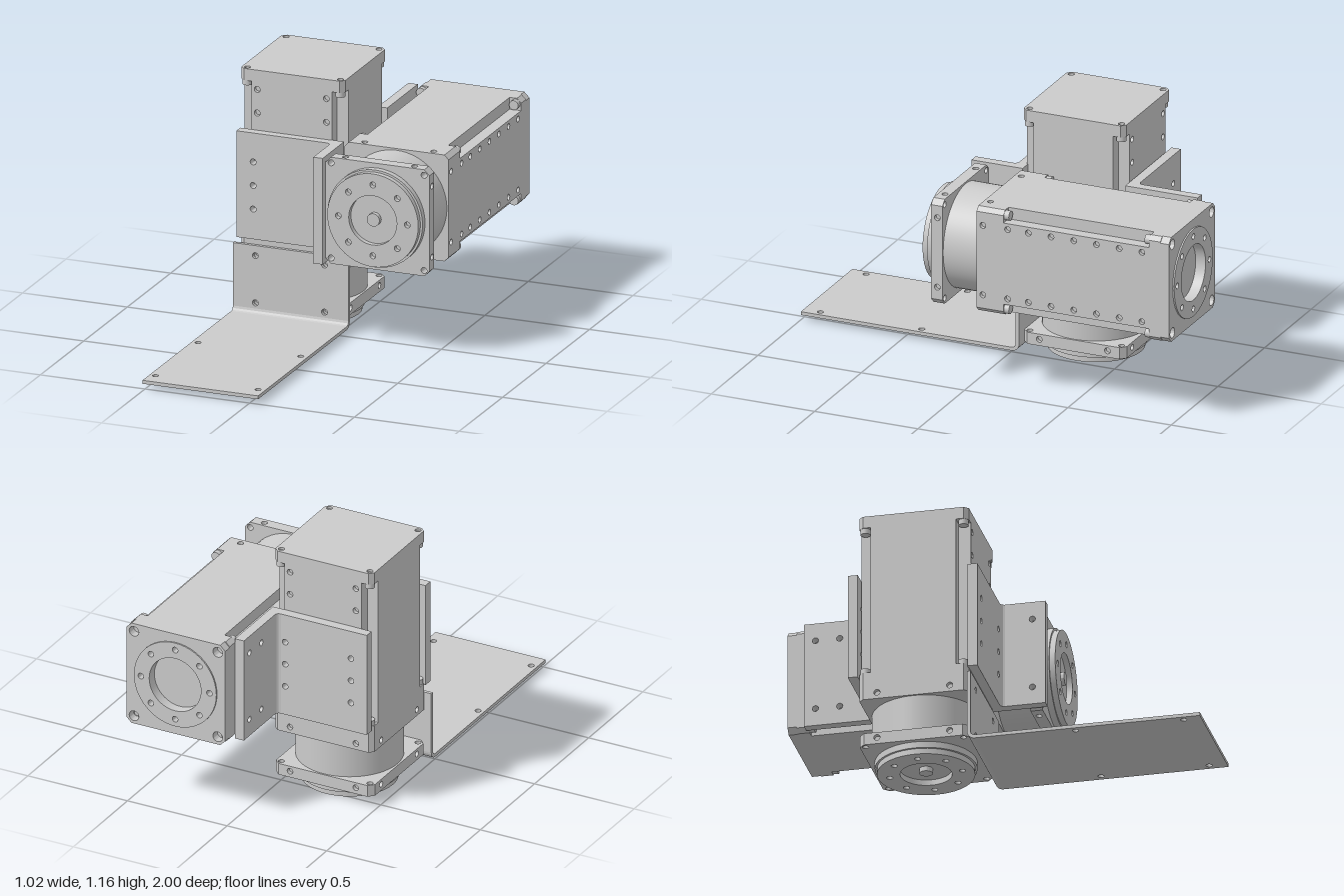
import * as THREE from 'three';
import { toCreasedNormals } from 'three/addons/utils/BufferGeometryUtils.js';

const H = 0.248;      // half width of an actuator
const N = 0.193;      // half width between the corner grooves
const SKIN = 0.02;    // thickness of the drilled side skins
const R = 0.014;      // screw hole radius
const P = 0.165;      // hole pitch from the axis
const CORNERS = [[1, 1], [-1, 1], [-1, -1], [1, -1]];

const material = new THREE.MeshStandardMaterial({ color: 0xcccccc });

function add(parent, name, geometry, x = 0, y = 0, z = 0) {
  const mesh = new THREE.Mesh(geometry, material);
  mesh.name = name;
  mesh.position.set(x, y, z);
  parent.add(mesh);
  return mesh;
}

const poly = (pts) => new THREE.Shape(pts.map(([x, y]) => new THREE.Vector2(x, y)));

function drill(shape, holes, r = R) {
  for (const [x, y] of holes) {
    shape.holes.push(new THREE.Path().absarc(x, y, r, 0, Math.PI * 2, true));
  }
  return shape;
}

function extrude(shape, depth) {
  const g = new THREE.ExtrudeGeometry(shape, { depth, bevelEnabled: false, curveSegments: 24 });
  return toCreasedNormals(g, 0.5);
}

// Extrusion running up the y axis
const column = (shape, depth) => extrude(shape, depth).rotateX(-Math.PI / 2);

// Rectangular sheet from corner to corner, with holes
function sheet(x0, y0, x1, y1, depth, holes = []) {
  return extrude(drill(poly([[x0, y0], [x1, y0], [x1, y1], [x0, y1]]), holes), depth);
}

const disc = (r) => new THREE.Shape().absarc(0, 0, r, 0, Math.PI * 2, false);
const ringOfHoles = (n, r) => Array.from({ length: n }, (_, i) => {
  const a = (i / n) * Math.PI * 2;
  return [Math.cos(a) * r, Math.sin(a) * r];
});

// Square with chamfered corners; inset > 0 leaves a pocket for a skin on each side
function squareSection(chamfer, inset = 0) {
  const w = 0.2, pts = [];
  const quarter = [[H, -w], [H - inset, -w], [H - inset, w], [H, w], [H, H - chamfer], [H - chamfer, H]];
  for (let k = 0; k < 4; k++) {
    for (const [x, y] of inset ? quarter : quarter.slice(4)) {
      pts.push([[x, y], [-y, x], [-x, -y], [y, -x]][k]);
    }
  }
  return poly(pts);
}

// Drilled skin on side k (0 = +z, going round by quarter turns)
function skin(parent, name, k, w, y0, y1, rows) {
  const holes = rows.flatMap((y) => [[-P, y], [P, y]]);
  const g = sheet(-w, y0, w, y1, SKIN, holes).translate(0, 0, H - SKIN);
  add(parent, name, g).rotation.y = k * Math.PI / 2;
}

// Square actuator standing on its output disc, drilled rows on its +z and -z sides
function actuator(name, withEndPlate) {
  const g = new THREE.Group();
  g.name = name;
  const cornerHoles = CORNERS.map(([x, z]) => [x * 0.222, z * 0.222]);

  // Output disc with bolt circle, recess and centre boss
  const face = drill(disc(0.217), ringOfHoles(8, P));
  drill(face, [[0, 0]], 0.115);
  add(g, 'outputDisc', column(face, 0.03));
  add(g, 'outputDiscBase', column(disc(0.227), 0.03), 0, 0.026, 0);
  add(g, 'outputBoss', column(disc(0.03), 0.03), 0, 0.004, 0);

  // Flange, round neck and front block
  add(g, 'flange', column(drill(squareSection(0.025, SKIN), cornerHoles), 0.055), 0, 0.055, 0);
  add(g, 'neck', new THREE.CylinderGeometry(0.24, 0.24, 0.165, 64), 0, 0.1925, 0);
  add(g, 'frontBlock', column(squareSection(0.02, SKIN), 0.13), 0, 0.275, 0);
  for (let k = 0; k < 4; k++) {
    skin(g, 'flangeSkin', k, 0.2, 0.055, 0.11, [0.085]);
    skin(g, 'blockSkin', k, 0.2, 0.275, 0.405, [0.305]);
  }

  // Housing with grooved corners
  const q = H - SKIN;
  const section = poly([[H, -N], [H, N], [N, N], [N, q], [-N, q], [-N, N],
    [-H, N], [-H, -N], [-N, -N], [-N, -q], [N, -q], [N, -N]]);
  add(g, 'housing', column(section, 0.705), 0, 0.405, 0);
  const rows = Array.from({ length: 7 }, (_, i) => 0.415 + 0.11 * i);
  rows[0] = 0.425;
  for (const k of [0, 2]) skin(g, 'housingSkin', k, N, 0.405, 1.11, rows);

  // Rear cap and the screws at both ends of each groove
  add(g, 'rearCap', column(drill(squareSection(0.02), cornerHoles), 0.055), 0, 1.11, 0);
  for (const [x, z] of cornerHoles) {
    for (const y of [0.417, 1.098]) {
      add(g, 'grooveScrew', new THREE.CylinderGeometry(0.022, 0.022, 0.024, 20), x, y, z);
    }
    add(g, 'capScrew', new THREE.CylinderGeometry(0.013, 0.013, 0.045, 16), x, 1.1325, z);
  }

  // End plate with a recessed port
  if (withEndPlate) {
    const plate = drill(squareSection(0.025), CORNERS.map(([x, z]) => [x * 0.21, z * 0.21]), 0.024);
    drill(plate, [[0, 0]], 0.13);
    add(g, 'endPlate', column(drill(plate, ringOfHoles(8, 0.172)), 0.041), 0, 1.165, 0);
    const ring = drill(disc(0.207), ringOfHoles(8, 0.172));
    add(g, 'endRing', column(drill(ring, [[0, 0]], 0.13), 0.007), 0, 1.206, 0);
  }
  return g;
}

// Concave quarter fillet at the origin, filling towards (-x, dz)
function fillet(r, dz, length) {
  const s = new THREE.Shape();
  s.moveTo(0, 0);
  s.lineTo(0, r);
  s.absarc(-r, r, r, 0, -Math.PI / 2, true);
  s.lineTo(0, 0);
  const g = column(s, length);
  return dz > 0 ? g.rotateZ(Math.PI).rotateY(Math.PI).translate(0, length, 0) : g;
}

// Thick angle bracket: wall across the upright unit, arm along the other one
function angleBracket(name, wallZ, armZ0, armZ1, armHoles, dz) {
  const g = new THREE.Group();
  g.name = name;
  const y0 = 0.39, y1 = 0.885, t = 0.045;
  const wallHoles = [0.53, 0.64, 0.75].flatMap((y) => [[-0.405, y], [-0.075, y]]);
  add(g, 'bracketWall', sheet(-0.485, y0, -0.034, y1, t, wallHoles), 0, 0, wallZ);
  const holes = armHoles.flatMap((z) => [[-z, 0.637 - P], [-z, 0.637 + P]]);
  const arm = sheet(-armZ1, y0, -armZ0, y1, t, holes).rotateY(Math.PI / 2);
  add(g, 'bracketArm', arm, -0.034, 0, 0);
  add(g, 'bracketFillet', fillet(0.02, dz, y1 - y0), -0.034, y0, dz > 0 ? wallZ + t : wallZ);
  return g;
}

// Thin sheet-metal foot, bent at the bottom
function foot() {
  const g = new THREE.Group();
  g.name = 'footBracket';
  const x0 = -0.512, x1 = 0.04, t = 0.016, r = 0.02, b = t + r, back = -0.056, base = 0.023;
  const wallHoles = [0.085, 0.305].flatMap((y) => [[-0.405, y], [-0.075, y]]);
  add(g, 'footWall', sheet(x0, base + b, x1, 0.352, t, wallHoles), 0, 0, back);
  const floorHoles = [0.43, 0.92].flatMap((z) => [[-0.483, -z], [0.007, -z]]);
  const floor = sheet(x0, -1, x1, -(back + b), t, floorHoles).rotateX(-Math.PI / 2);
  add(g, 'footFloor', floor, 0, base, 0);
  const bend = new THREE.Shape();
  bend.absarc(0, 0, b, -Math.PI / 2, 0, false);
  bend.absarc(0, 0, r, 0, -Math.PI / 2, true);
  add(g, 'footBend', extrude(bend, x1 - x0).rotateY(Math.PI / 2), x0, base + b, back + b);
  return g;
}

export function createModel() {
  const model = new THREE.Group();
  model.name = 'twoAxisActuator';

  const upright = actuator('uprightActuator', false);
  upright.position.set(-0.238, 0, -0.305);

  const level = actuator('levelActuator', true);
  level.position.set(0.261, 0.637, 0.213);
  level.rotateX(-Math.PI / 2).rotateY(Math.PI / 2);

  model.add(upright, level, foot());
  model.add(angleBracket('frontBracket', -0.06, -0.06, 0.187, [0.128], 1));
  model.add(angleBracket('rearBracket', -0.602, -0.907, -0.557, [-0.745, -0.855], -1));
  return model;
}
